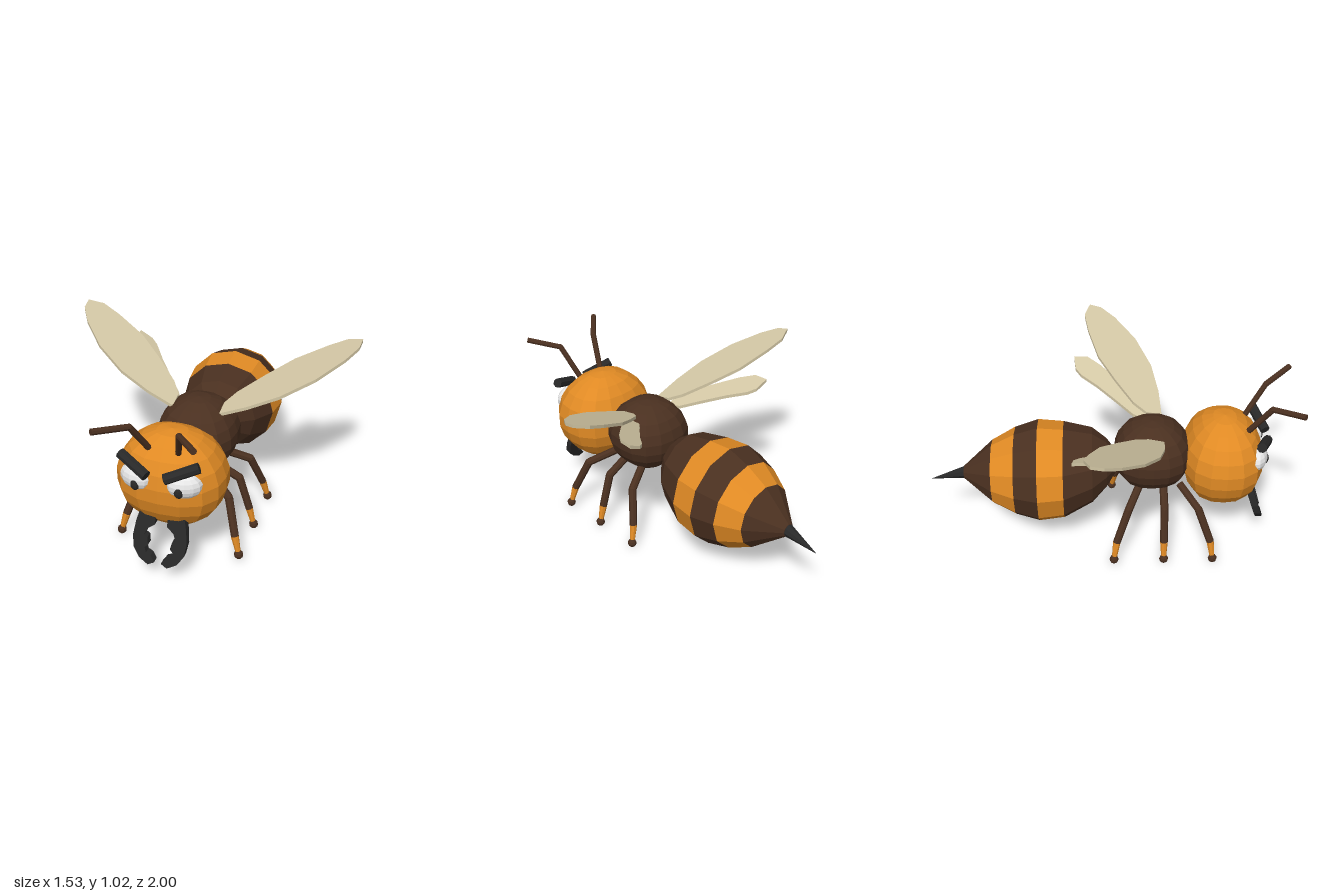
import * as THREE from 'three';

const mat = (name, color) => Object.assign(new THREE.MeshStandardMaterial({ color }), { name });

export function createModel() {
  const model = new THREE.Group();
  model.name = 'bee';
  const orange = mat('orange', 0xe08a24);
  const brown = mat('dark brown', 0x4a3020);
  const black = mat('black', 0x282828);
  const white = mat('white', 0xe8e8e8);
  const cream = mat('wing cream', 0xd2c6a4);
  const V = (x, y, z) => new THREE.Vector3(x, y, z);

  // Faceted mesh: unshared corners give flat normals
  function add(name, geometry, material) {
    const g = geometry.index ? geometry.toNonIndexed() : geometry;
    g.computeVertexNormals();
    const mesh = new THREE.Mesh(g, material);
    mesh.name = name;
    model.add(mesh);
    return mesh;
  }

  // Apply a rule to every vertex
  function reshape(g, rule) {
    const p = g.attributes.position, v = V(0, 0, 0);
    for (let i = 0; i < p.count; i++) {
      rule(v.fromBufferAttribute(p, i));
      p.setXYZ(i, v.x, v.y, v.z);
    }
    return g;
  }

  // Straight rod between two points
  function rod(name, a, b, ra, rb, material, sides = 8) {
    const d = b.clone().sub(a);
    const mesh = add(name, new THREE.CylinderGeometry(rb, ra, d.length(), sides), material);
    mesh.position.copy(a).add(b).multiplyScalar(0.5);
    mesh.quaternion.setFromUnitVectors(V(0, 1, 0), d.normalize());
    return mesh;
  }

  function ball(name, center, r, material, w = 8, h = 6) {
    const mesh = add(name, new THREE.SphereGeometry(1, w, h).scale(r.x, r.y, r.z), material);
    mesh.position.copy(center);
    return mesh;
  }

  // Body ball, slightly squared off as seen from above
  function bodyBall(name, center, r, material) {
    const g = reshape(new THREE.SphereGeometry(1, 16, 11), v => {
      const h = Math.hypot(v.x, v.z);
      if (h < 1e-5) return;
      const n = 2.5;
      const k = h / (Math.abs(v.x) ** n + Math.abs(v.z) ** n) ** (1 / n);
      v.x *= k;
      v.z *= k;
    }).scale(r.x, r.y, r.z);
    add(name, g, material).position.copy(center);
  }

  bodyBall('head', V(0, 0.505, 0.615), V(0.28, 0.263, 0.222), orange);
  bodyBall('thorax', V(0, 0.53, 0.23), V(0.213, 0.205, 0.212), brown);

  // Abdomen: bands of one turned profile [z, radius], with a gentle droop
  const profile = [[0.04, 0], [0.03, 0.062], [-0.02, 0.135], [-0.1, 0.21], [-0.256, 0.27],
    [-0.396, 0.285], [-0.524, 0.246], [-0.652, 0.178], [-0.813, 0.036], [-0.82, 0]];
  const bands = [[0, 4, brown], [4, 5, orange], [5, 6, brown], [6, 7, orange], [7, 9, brown]];
  bands.forEach(([from, to, material], i) => {
    const pts = profile.slice(from, to + 1).map(([z, r]) => new THREE.Vector2(r, -z));
    const g = new THREE.LatheGeometry(pts, 12).rotateX(-Math.PI / 2);
    reshape(g, v => { v.y += 0.41 + (v.z > -0.25 ? 0.2 : 0.02) * (v.z + 0.25); });
    add('abdomenBand' + (i + 1), g, material);
  });
  rod('stinger', V(0, 0.4, -0.8), V(0, 0.355, -1), 0.036, 0, black);

  // Wing outlines [x, z] lying on sloping planes y = a + b x + c z
  const wings = [
    ['foreWing', [[0.127, 0.285], [0.127, 0.2], [0.175, 0.13], [0.3, 0.03], [0.43, -0.06], [0.59, -0.115],
      [0.69, -0.135], [0.767, -0.105], [0.762, -0.04], [0.71, 0.04], [0.59, 0.155], [0.43, 0.24], [0.27, 0.275]],
      0.68, 0.4, -0.22],
    ['hindWing', [[0.12, 0.2], [0.15, 0.13], [0.23, 0.04], [0.32, -0.065], [0.39, -0.16], [0.43, -0.19],
      [0.5, -0.197], [0.495, -0.12], [0.445, -0.05], [0.36, 0.04], [0.27, 0.13], [0.18, 0.2]],
      0.58, 0.49, 0.02],
  ];

  // Jaw outline with inner teeth [x, y]
  const jaw = [[0.117, 0.37], [0.03, 0.35], [0.033, 0.31], [0.068, 0.285], [0.083, 0.25], [0.065, 0.24],
    [0.058, 0.205], [0.075, 0.19], [0.065, 0.165], [0.04, 0.155], [0.018, 0.125], [0.05, 0.108],
    [0.1, 0.135], [0.132, 0.18], [0.142, 0.24], [0.132, 0.31]];

  for (const s of [1, -1]) {
    const side = s > 0 ? 'left' : 'right';
    const P = (x, y, z) => V(s * x, y, z);

    for (const [name, outline, a, b, c] of wings) {
      const shape = new THREE.Shape(outline.map(([x, z]) => new THREE.Vector2(s * x, -z)));
      const g = new THREE.ExtrudeGeometry(shape, { depth: 0.018, bevelEnabled: false }).rotateX(-Math.PI / 2);
      reshape(g, v => { v.y += a + b * Math.abs(v.x) + c * v.z; });
      add(side + name, g, cream);
    }

    const jawShape = new THREE.Shape(jaw.map(([x, y]) => new THREE.Vector2(s * x, y)));
    const jawGeo = new THREE.ExtrudeGeometry(jawShape, { depth: 0.038, bevelEnabled: false });
    reshape(jawGeo, v => { v.z += 0.745 + (0.36 - v.y) * 0.34; });
    add(side + 'Jaw', jawGeo, black);

    // Eye, pupil and angry brow
    const eye = ball(side + 'Eye', P(0.125, 0.575, 0.79), V(0.088, 0.066, 0.052), white, 12, 9);
    eye.rotation.y = s * 0.3;
    const pupil = ball(side + 'Pupil', P(0.112, 0.56, 0.837), V(0.024, 0.03, 0.016), black, 8, 6);
    pupil.rotation.y = s * 0.2;
    rod(side + 'Brow', P(0.2, 0.693, 0.79), P(0.045, 0.632, 0.85), 0.027, 0.027, black);

    // Antenna with a bent joint
    const bend = P(0.122, 0.882, 0.84);
    rod(side + 'AntennaLower', P(0.076, 0.715, 0.735), bend, 0.016, 0.016, brown);
    rod(side + 'AntennaUpper', bend, P(0.245, 0.916, 0.985), 0.016, 0.016, brown);
    ball(side + 'AntennaJoint', bend, V(0.016, 0.016, 0.016), brown);

    // Legs: hip z, knee z, ankle z, foot z
    [['Front', 0.38, 0.475, 0.545, 0.56], ['Middle', 0.29, 0.29, 0.29, 0.29],
      ['Rear', 0.16, 0.095, 0.03, 0.015]].forEach(([n, hz, kz, az, fz]) => {
      const knee = P(0.245, 0.315, kz), ankle = P(0.302, 0.13, az), foot = P(0.328, 0.03, fz);
      rod(side + n + 'Thigh', P(0.11, 0.385, hz), knee, 0.022, 0.022, brown);
      ball(side + n + 'Knee', knee, V(0.022, 0.022, 0.022), brown);
      rod(side + n + 'Shin', knee, ankle, 0.022, 0.021, brown);
      rod(side + n + 'Sock', ankle, foot, 0.021, 0.013, orange);
      ball(side + n + 'Foot', foot, V(0.025, 0.026, 0.025), brown);
    });
  }
  return model;
}
